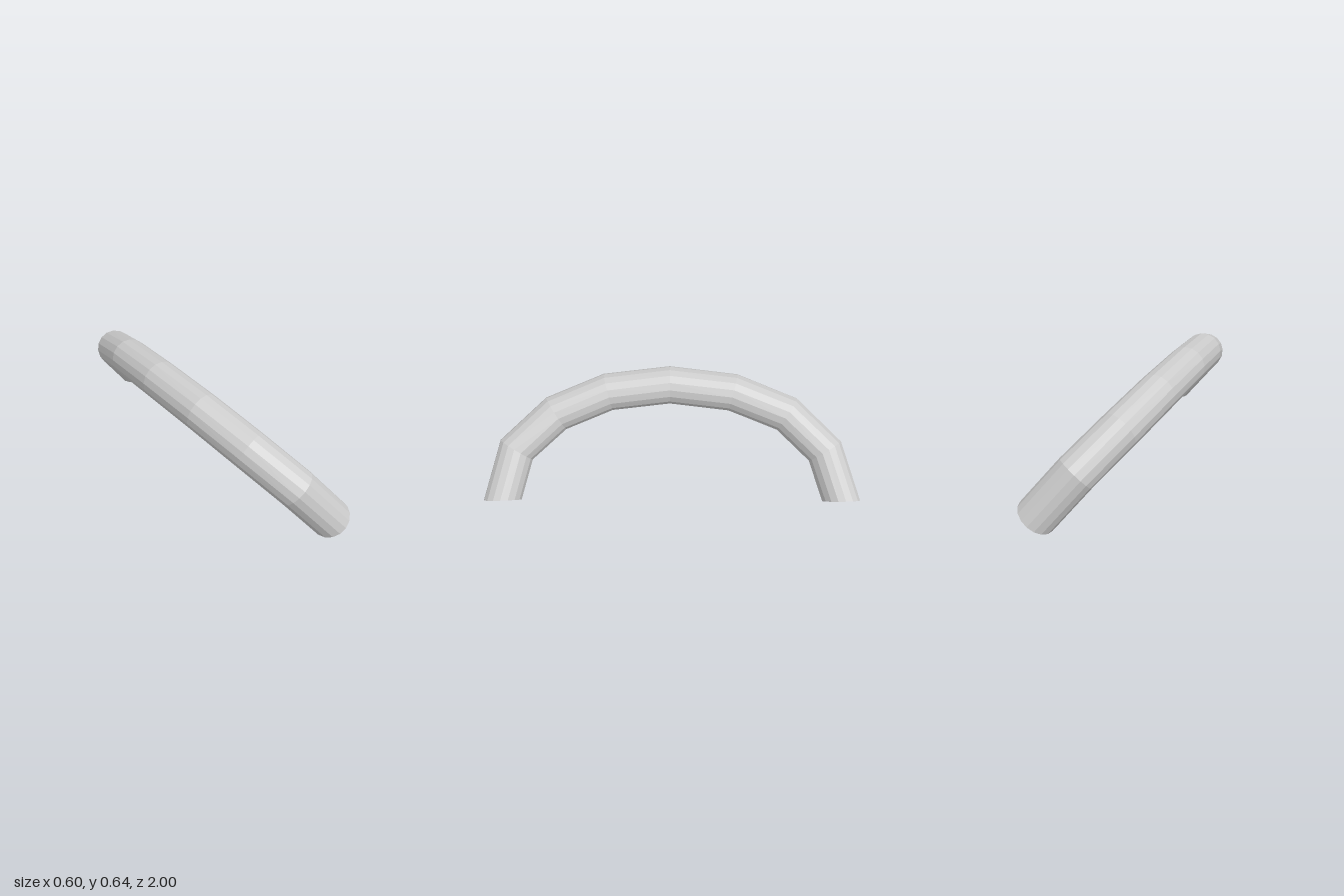
import * as THREE from 'three';

const SIDES = 16;
const RADIUS = 0.1;

// Open tube swept along a tilted arc; every ring shares the arc's plane normal.
function archTube(path, planeNormal) {
  const positions = [];
  const index = [];
  const last = path.length - 1;
  path.forEach((centre, i) => {
    const tangent = new THREE.Vector3();
    if (i === 0) tangent.set(-0.63, 0.78, 0);
    else if (i === last) tangent.set(0.63, -0.78, 0);
    else tangent.subVectors(path[i + 1], path[i - 1]);
    const radial = new THREE.Vector3().crossVectors(planeNormal, tangent).normalize();
    const across = new THREE.Vector3().crossVectors(tangent, radial).normalize();
    for (let j = 0; j < SIDES; j++) {
      const a = (j / SIDES) * Math.PI * 2;
      const p = centre.clone()
        .addScaledVector(across, RADIUS * Math.cos(a))
        .addScaledVector(radial, RADIUS * Math.sin(a));
      positions.push(p.x, p.y, p.z);
    }
  });
  for (let i = 0; i < last; i++) {
    for (let j = 0; j < SIDES; j++) {
      const k = (j + 1) % SIDES;
      const a = i * SIDES + j, b = i * SIDES + k;
      const c = a + SIDES, d = b + SIDES;
      index.push(a, c, b, b, c, d);
    }
  }
  const indexed = new THREE.BufferGeometry();
  indexed.setAttribute('position', new THREE.Float32BufferAttribute(positions, 3));
  indexed.setIndex(index);
  const geometry = indexed.toNonIndexed();
  geometry.computeVertexNormals();
  return geometry;
}

export function createModel() {
  const group = new THREE.Group();
  group.name = 'archedHandle';

  // Centreline joints from the front end to the back end
  const path = [
    [0.145, 0.066, 0.9],
    [-0.02, 0.275, 0.82],
    [-0.135, 0.425, 0.605],
    [-0.195, 0.515, 0.325],
    [-0.205, 0.545, -0.005],
    [-0.165, 0.515, -0.34],
    [-0.08, 0.425, -0.625],
    [0.055, 0.275, -0.82],
    [0.222, 0.066, -0.9],
  ].map((p) => new THREE.Vector3(...p));

  const material = new THREE.MeshStandardMaterial({
    color: 0xcccccc, flatShading: true, side: THREE.DoubleSide,
  });
  const tube = new THREE.Mesh(archTube(path, new THREE.Vector3(0.78, 0.63, -0.035).normalize()), material);
  tube.name = 'curvedTube';
  group.add(tube);
  return group;
}
